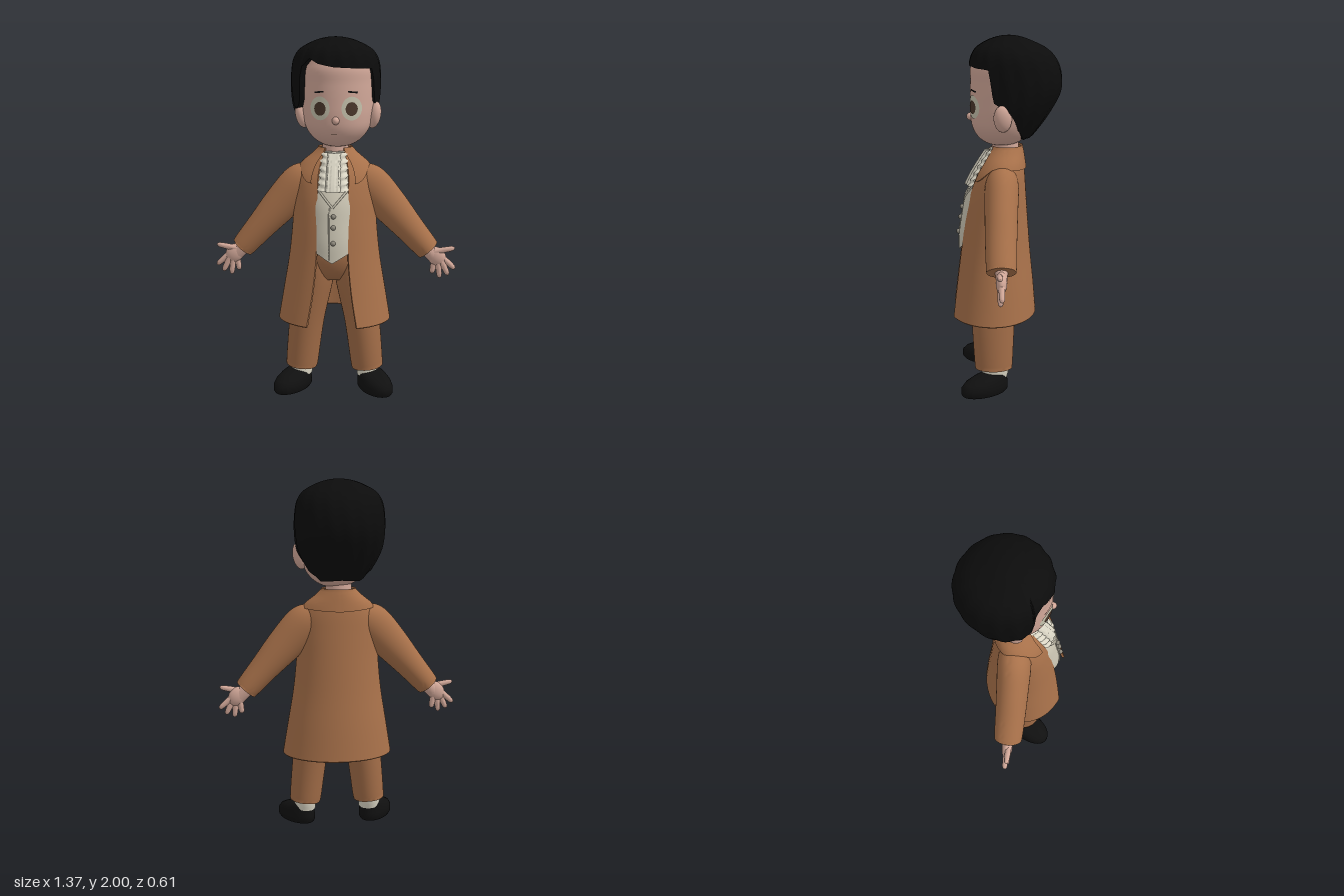
import * as THREE from 'three';
import { toCreasedNormals } from 'three/addons/utils/BufferGeometryUtils.js';

const { sin, cos, PI, abs, sqrt, min, asin } = Math;
const paint = (name, color) => new THREE.MeshStandardMaterial({ name, color, side: THREE.DoubleSide });

// Smooth lookup: each row is [key, ...values]
const table = (rows, Kind = THREE.CubicInterpolant) => {
  const it = new Kind(rows.map(r => r[0]), rows.flatMap(r => r.slice(1)), rows[0].length - 1);
  return k => [...it.evaluate(k)];
};

// Surface through a grid of points; columns run to the right and rows run up as seen from outside
function grid(nu, nv, closed, point, crease = 0.8) {
  const pos = [], idx = [];
  for (let j = 0; j < nv; j++) for (let i = 0; i < nu; i++) pos.push(...point(i, j));
  for (let j = 0; j < nv - 1; j++) for (let i = 0; i < (closed ? nu : nu - 1); i++) {
    const a = j * nu + i, b = j * nu + (i + 1) % nu;
    idx.push(a, b, b + nu, a, b + nu, a + nu);
  }
  const g = new THREE.BufferGeometry();
  g.setAttribute('position', new THREE.Float32BufferAttribute(pos, 3));
  g.setIndex(idx);
  return toCreasedNormals(g, crease);
}

// Capped limb through rows of [x, y, z, radius in the front plane, radius along z]
function limb(rows, nu = 28, steps = 18) {
  const at = table(rows.map((r, i) => [i, ...r])), n = rows.length - 1;
  return grid(nu, steps + 3, true, (i, j) => {
    const k = min(steps, Math.max(0, j - 1)) / steps * n;
    const cap = j === 0 || j === steps + 2 ? 0 : 1;
    const p = at(k), q0 = at(Math.max(0, k - 0.05)), q1 = at(min(n, k + 0.05));
    const tx = q1[0] - q0[0], ty = q1[1] - q0[1], l = Math.hypot(tx, ty) || 1;
    const a = i / nu * 2 * PI, c = cos(a) * p[3] * cap;
    return [p[0] - ty / l * c, p[1] + tx / l * c, p[2] + sin(a) * p[4] * cap];
  });
}

// Ring point on a section [half width, front z, back z]
const ring = ([w, f, b], a, y, off = 0, cx = 0) =>
  [cx + sin(a) * (w + off), y, (f + b) / 2 + cos(a) * ((f - b) / 2 + off)];

const headX = 0.015;
const headAt = table([[1.395, 0, 0.03, 0.03], [1.405, 0.06, 0.085, -0.04], [1.42, 0.098, 0.12, -0.08],
  [1.45, 0.138, 0.155, -0.11], [1.5, 0.174, 0.183, -0.14], [1.57, 0.193, 0.194, -0.17], [1.65, 0.203, 0.195, -0.2],
  [1.75, 0.208, 0.193, -0.22], [1.85, 0.2, 0.186, -0.21], [1.92, 0.15, 0.13, -0.16], [1.96, 0, -0.02, -0.02]]);
const coatAt = table([[0.42, 0.318, 0.325, -0.175, 0.14], [0.6, 0.288, 0.295, -0.16, 0.11], [0.8, 0.255, 0.265, -0.14, 0.09],
  [1.0, 0.235, 0.235, -0.125, 0.085], [1.15, 0.227, 0.202, -0.115, 0.085], [1.25, 0.213, 0.165, -0.108, 0.085],
  [1.31, 0.175, 0.125, -0.1, 0.075], [1.36, 0.115, 0.09, -0.092, 0.06], [1.39, 0.085, 0.07, -0.085, 0.05]]);
const vestAt = table([[0.78, 0.165, 0.268, -0.09], [0.88, 0.165, 0.265, -0.09], [1.0, 0.165, 0.248, -0.09],
  [1.1, 0.165, 0.228, -0.085], [1.2, 0.155, 0.186, -0.08], [1.3, 0.12, 0.13, -0.07], [1.37, 0.075, 0.085, -0.07]]);
const frontZ = (at, x, y, cx = 0) => {
  const [w, f, b] = at(y);
  return (f + b) / 2 + (f - b) / 2 * sqrt(Math.max(0, 1 - ((x - cx) / w) ** 2));
};

// Thin detail laid on the face
function onFace(geo, x, y, off) {
  geo.translate(x, y, 0);
  const p = geo.attributes.position;
  for (let i = 0; i < p.count; i++) p.setZ(i, frontZ(headAt, p.getX(i), p.getY(i), headX) + off);
  geo.computeVertexNormals();
  return geo;
}

export function createModel() {
  const model = new THREE.Group();
  const skin = paint('skin', 0xd2a899), black = paint('hairBlack', 0x0c0c0c), shoeBlack = paint('shoeBlack', 0x101010);
  const brown = paint('coatBrown', 0xa8714a), trouserBrown = paint('trouserBrown', 0xa16c47);
  const cream = paint('linenCream', 0xdcd7c6), vestCream = paint('waistcoatCream', 0xccc6b4);
  const eyeCream = paint('eyeCream', 0xc8c4ae), iris = paint('irisBrown', 0x4b382b), metal = paint('buttonGrey', 0x8d887c);
  const add = (name, geo, mat, x = 0, y = 0, z = 0) => {
    const m = new THREE.Mesh(geo, mat);
    m.name = name;
    m.position.set(x, y, z);
    model.add(m);
    return m;
  };

  // Head and neck
  add('head', grid(64, 48, true, (i, j) => {
    const y = 1.395 + 0.2825 * (1 - cos(j / 47 * PI));
    return ring(headAt(y), i / 64 * 2 * PI, y, 0, headX);
  }, 2), skin);
  add('neck', new THREE.CylinderGeometry(0.072, 0.078, 0.16, 32), skin, 0, 1.37, 0);
  const nose = add('nose', new THREE.SphereGeometry(1, 20, 14), skin, headX, 1.557, 0.193);
  nose.scale.set(0.02, 0.022, 0.024);
  add('mouth', onFace(new THREE.PlaneGeometry(0.032, 0.005, 6, 1), headX - 0.01, 1.483, 0.003), iris);
  for (const s of [-1, 1]) {
    const x = headX + s * 0.086;
    const white = new THREE.RingGeometry(0.001, 1, 36, 6).scale(0.054, 0.064, 1);
    add('eyeWhite', onFace(white, x, 1.622, 0.004), eyeCream);
    const pupil = new THREE.RingGeometry(0.001, 1, 32, 4).scale(0.032, 0.037, 1);
    add('iris', onFace(pupil, x, 1.62, 0.007), iris);
    add('eyebrow', onFace(new THREE.PlaneGeometry(0.052, 0.009, 8, 1).rotateZ(-s * 0.12), x + s * 0.005, 1.71, 0.004), black);
    const ear = add('ear', new THREE.SphereGeometry(1, 24, 18), skin, s > 0 ? 0.217 : -0.183, 1.573, 0.02);
    ear.scale.set(0.036, 0.075, 0.05);
    ear.rotation.set(0.15, s * 0.3, -s * 0.22);
  }

  // Hair: a dome cut off along a hairline given by angle from the front
  const hairAt = table([[2, 0, -0.02, -0.02], [1.97, 0.135, 0.105, -0.145], [1.93, 0.203, 0.165, -0.225],
    [1.88, 0.236, 0.192, -0.275], [1.8, 0.25, 0.204, -0.308], [1.7, 0.25, 0.2, -0.308], [1.6, 0.232, 0.185, -0.258],
    [1.5, 0.18, 0.15, -0.19], [1.42, 0.125, 0.12, -0.125]].map(([y, ...r]) => [sqrt(2 - y), ...r]));
  const hairline = table([[-180, 1.45], [-130, 1.44], [-105, 1.5], [-85, 1.57], [-72, 1.6], [-58, 1.62], [-50, 1.66],
    [-46, 1.84], [-33, 1.888], [-20, 1.86], [0, 1.843], [30, 1.835], [56, 1.83], [61, 1.66], [75, 1.625], [86, 1.6],
    [105, 1.5], [130, 1.44], [180, 1.45]], THREE.LinearInterpolant);
  add('hair', grid(144, 34, true, (i, j) => {
    const deg = i * 2.5 - 180, a = deg * PI / 180, [low] = hairline(deg);
    const v = Math.max(0, j - 1) / 32, y = 2 - (2 - low) * (1 - v) ** 2;
    const wave = 0.003 * sin(a * 17 + y * 9) * (1 - v);
    const p = ring(hairAt(sqrt(2 - y)), a, y, wave);
    return j ? p : [p[0] * 0.78, y + 0.004, -0.03 + (p[2] + 0.03) * 0.8];
  }, 1.2), black);

  // Waistcoat with a pointed hem, V edge and buttons
  add('waistcoat', grid(56, 30, true, (i, j) => {
    const v = j / 29, y = 0.78 + 0.59 * v, p = ring(vestAt(y), i / 56 * 2 * PI, y);
    p[1] += 0.05 * min(1, abs(p[0]) / 0.085) * (1 - v) ** 6;
    return p;
  }), vestCream);
  for (const s of [-1, 1]) {
    const edge = [0, 0.25, 0.5, 0.75, 1].map(t => {
      const x = s * 0.08 * t, y = 1.085 + 0.09 * t;
      return new THREE.Vector3(x, y, frontZ(vestAt, x, y) + 0.001);
    });
    add('waistcoatLapelEdge', new THREE.TubeGeometry(new THREE.CatmullRomCurve3(edge), 16, 0.006, 8), vestCream);
  }
  const seam = [1.085, 1, 0.9, 0.8].map(y => new THREE.Vector3(-0.018, y, frontZ(vestAt, 0, y)));
  add('waistcoatSeam', new THREE.TubeGeometry(new THREE.CatmullRomCurve3(seam), 16, 0.004, 6), vestCream);
  for (const y of [1.04, 0.98, 0.895])
    add('button', new THREE.SphereGeometry(0.014, 16, 12), metal, 0.006, y, frontZ(vestAt, 0, y) + 0.004);

  // Neckcloth: stock band, ruffle and pleated fall
  add('stock', new THREE.CylinderGeometry(0.078, 0.085, 0.06, 32), cream, 0, 1.345, 0.008);
  const sheet = (halfWidth, lift, wave) => grid(25, 30, false, (i, j) => {
    const u = i / 12 - 1, v = j / 29;
    const w = halfWidth * (0.85 + 0.15 * (1 - v)) + wave * sin(v * 34);
    return [u * w, 1.17 + 0.2 * v, 0.212 - 0.115 * v ** 1.2 + lift + 0.005 * cos(u * 9) + wave * abs(u) * cos(v * 34) - 0.02 * u * u];
  }, 2);
  add('ruffle', sheet(0.08, 0, 0.007), cream);
  add('neckclothFall', sheet(0.045, 0.014, 0.001), cream);

  // Coat: thick shell, open at the front
  const N = 56;
  add('coat', grid(N * 2, 36, true, (i, j) => {
    const y = j === 0 ? 0.418 : 0.424 + 0.966 * (j - 1) / 34;
    const [w, f, b, open] = coatAt(y), o = asin(open / w);
    const k = (i < N ? i : 2 * N - 1 - i) / (N - 1);
    const off = j === 0 ? -0.007 : i < N ? 0 : -0.016;
    return ring([w, f, b], o + k * (2 * PI - 2 * o), y, off);
  }), brown);
  add('collar', grid(64, 16, false, (i, j) => {
    const a = 0.55 + i / 63 * (2 * PI - 1.1), f = abs(i / 31.5 - 1);
    const low = 1.27 + 0.03 * f - 0.09 * THREE.MathUtils.smoothstep(f, 0.72, 1);
    const y = low + (1.395 - low) * Math.max(0, j - 1) / 14;
    return ring(coatAt(y), a, y, j ? 0.012 : -0.004);
  }), brown);

  // Trouser seat
  const hipAt = table([[0.62, 0.06, 0.12, 0], [0.68, 0.17, 0.185, -0.07], [0.76, 0.2, 0.22, -0.1], [0.88, 0.19, 0.225, -0.1]]);
  add('trouserSeat', grid(48, 16, true, (i, j) => {
    const y = 0.66 + 0.22 * j / 15;
    return ring(hipAt(y), i / 48 * 2 * PI, y);
  }), trouserBrown);

  // Shoe rows: height, half length, half width, shift along the foot
  const shoeRows = [[0, 0, 0, 0], [0, 0.135, 0.076, 0], [0.012, 0.145, 0.084, 0], [0.045, 0.145, 0.085, 0], [0.07, 0.131, 0.08, -0.01],
    [0.09, 0.107, 0.071, -0.032], [0.105, 0.08, 0.06, -0.06], [0.112, 0.065, 0.052, -0.07], [0.112, 0, 0, -0.07]];
  const shoeGeo = grid(40, shoeRows.length, true, (i, j) => {
    const [y, l, w, z] = shoeRows[j], a = i / 40 * 2 * PI;
    return [sin(a) * w, y, z + cos(a) * l];
  }, 1);

  // Base and tip of each finger, thumb last
  const fingers = [[0.615, 0.765, 0.683, 0.703, 0.035], [0.605, 0.75, 0.645, 0.667, 0.042], [0.587, 0.74, 0.597, 0.65, 0.04],
    [0.563, 0.74, 0.553, 0.674, 0.033], [0.565, 0.805, 0.68, 0.828, 0.045]];

  for (const s of [-1, 1]) {
    const side = s > 0 ? 'left' : 'right';
    const mirrored = rows => rows.map(([x, ...r]) => [s * x, ...r]);
    add(side + 'Sleeve', limb(mirrored([[0.13, 1.235, 0.02, 0.085, 0.08], [0.195, 1.185, 0.025, 0.112, 0.093],
      [0.3, 1.075, 0.03, 0.103, 0.09], [0.42, 0.94, 0.034, 0.083, 0.085], [0.52, 0.825, 0.035, 0.069, 0.08],
      [0.527, 0.817, 0.035, 0.063, 0.074]]), 36, 30), brown);
    add(side + 'Wrist', limb(mirrored([[0.48, 0.87, 0.035, 0.04, 0.035], [0.53, 0.81, 0.035, 0.04, 0.033],
      [0.57, 0.77, 0.035, 0.04, 0.028]])), skin);
    const palm = add(side + 'Palm', new THREE.SphereGeometry(1, 24, 18), skin, s * 0.577, 0.775, 0.036);
    palm.scale.set(0.062, 0.05, 0.03);
    palm.rotation.z = -s * 0.85;
    fingers.forEach(([x0, y0, x1, y1, z], i) => {
      const at = (t, r) => [x0 + (x1 - x0) * t, y0 + (y1 - y0) * t, z, r, r];
      add(side + (i === 4 ? 'Thumb' : 'Finger'),
        limb(mirrored([at(-0.3, 0.017), at(0.35, 0.017), at(0.8, 0.0145), at(0.94, 0.009), at(1, 0.001)]), 14, 14), skin);
    });
    add(side + 'TrouserLeg', limb(mirrored([[0.105, 0.8, 0.07, 0.1, 0.14], [0.112, 0.67, 0.07, 0.108, 0.138],
      [0.157, 0.42, 0.074, 0.1, 0.123], [0.187, 0.155, 0.073, 0.092, 0.108], [0.188, 0.142, 0.073, 0.086, 0.102]]), 36, 24), trouserBrown);
    add(side + 'Sock', limb(mirrored([[0.19, 0.2, 0.06, 0.066, 0.08], [0.19, 0.13, 0.062, 0.064, 0.078],
      [0.193, 0.08, 0.068, 0.062, 0.072]])), cream);
    add(side + 'Shoe', shoeGeo, shoeBlack, s * 0.237, 0, 0.125).rotation.y = s * PI / 6;
  }
  return model;
}
